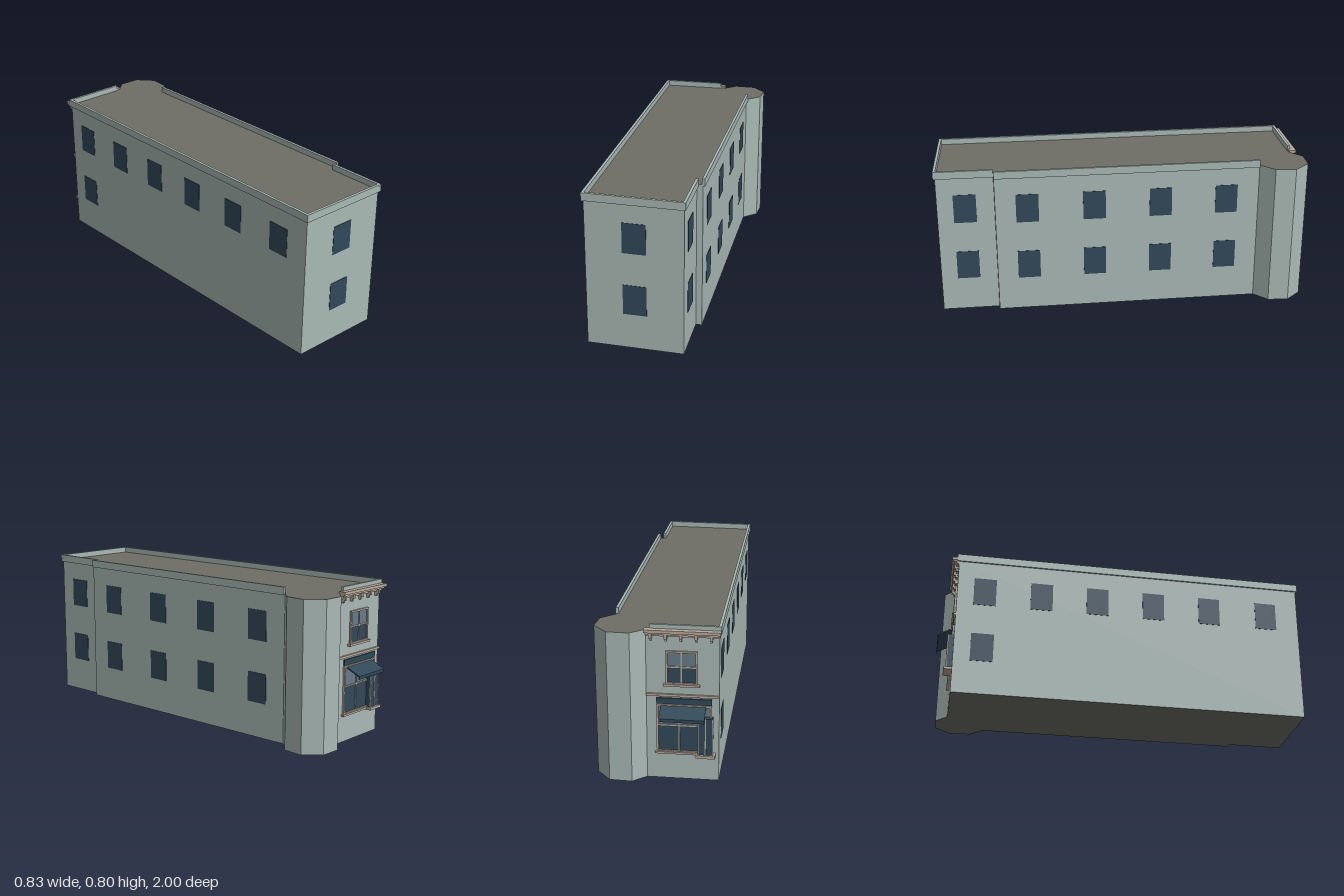
import * as THREE from 'three';

const mat = (color) => new THREE.MeshStandardMaterial({ color });
const wallMat = mat(0xa9b9b5);
const roofMat = mat(0x6e6e67);
const glassMat = mat(0x32485a);
const paleGlassMat = mat(0x667b8a);
const trimMat = mat(0xb9aa9c);
const awningMat = mat(0x2f4858);

// Footprint corners [x, z], left to right as seen from outside
const FOOT = [
  [-0.077, 0.99], [0.404, 0.925], [0.353, 0.632], [0.383, 0.625],
  [0.145, -0.745], [0.205, -0.825], [0.195, -0.932], [0.11, -1.0],
  [0.0, -0.985], [-0.055, -0.915], [-0.399, -0.855],
];
const ROOF = 0.765;

const wallLength = (i) => {
  const a = FOOT[i], b = FOOT[(i + 1) % FOOT.length];
  return Math.hypot(b[0] - a[0], b[1] - a[1]);
};

// Group lying on wall i: x along the wall, y up, z outward
function wallFrame(i, name) {
  const a = FOOT[i], b = FOOT[(i + 1) % FOOT.length];
  const g = new THREE.Group();
  g.name = name;
  g.position.set(a[0], 0, a[1]);
  g.rotation.y = Math.atan2(-(b[1] - a[1]), b[0] - a[0]);
  return g;
}

// Box given by its limits on each axis
function block(parent, name, material, x0, x1, y0, y1, z0, z1) {
  const m = new THREE.Mesh(new THREE.BoxGeometry(x1 - x0, y1 - y0, z1 - z0), material);
  m.position.set((x0 + x1) / 2, (y0 + y1) / 2, (z0 + z1) / 2);
  m.name = name;
  parent.add(m);
  return m;
}

// Rectangular frame of four bars
function frame(parent, name, x0, x1, y0, y1, t, z0, z1) {
  block(parent, name, trimMat, x0, x0 + t, y0, y1, z0, z1);
  block(parent, name, trimMat, x1 - t, x1, y0, y1, z0, z1);
  block(parent, name, trimMat, x0 + t, x1 - t, y0, y0 + t, z0, z1);
  block(parent, name, trimMat, x0 + t, x1 - t, y1 - t, y1, z0, z1);
}

function buildShopfront() {
  const g = wallFrame(9, 'shopfront');
  const L = wallLength(9);

  // Cornice with brackets
  block(g, 'corniceSlab', trimMat, -0.005, L + 0.008, 0.76, 0.775, 0, 0.038);
  block(g, 'corniceStep', trimMat, 0, L + 0.004, 0.75, 0.76, 0, 0.028);
  block(g, 'corniceBand', trimMat, 0, L + 0.004, 0.738, 0.75, 0, 0.012);
  for (let i = 0; i < 5; i++) {
    const x = L * (0.07 + i * 0.205);
    block(g, 'corniceBracket', trimMat, x - 0.007, x + 0.007, 0.728, 0.752, 0, 0.024);
    block(g, 'bracketFoot', trimMat, x - 0.005, x + 0.005, 0.715, 0.728, 0, 0.014);
  }
  block(g, 'beltCourse', trimMat, 0, L + 0.003, 0.434, 0.446, 0, 0.01);

  // Upper sash window
  const u0 = L * 0.27, u1 = L * 0.7, um = (u0 + u1) / 2;
  block(g, 'upperSashGlass', paleGlassMat, u0, u1, 0.585, 0.66, 0, 0.003);
  block(g, 'lowerSashGlass', glassMat, u0, u1, 0.5, 0.585, 0, 0.003);
  frame(g, 'upperWindowFrame', u0, u1, 0.497, 0.665, 0.009, 0, 0.009);
  block(g, 'upperWindowMullion', trimMat, um - 0.003, um + 0.003, 0.505, 0.657, 0, 0.007);
  block(g, 'upperWindowRail', trimMat, u0, u1, 0.581, 0.588, 0, 0.007);
  block(g, 'upperWindowSill', trimMat, u0 - 0.012, u1 + 0.012, 0.488, 0.499, 0, 0.016);

  // Shop window and fascia
  const s0 = L * 0.14, s1 = L * 0.9, sm = L * 0.45;
  block(g, 'fascia', awningMat, s0, s1, 0.395, 0.425, 0, 0.008);
  block(g, 'shopGlass', glassMat, s0, s1, 0.15, 0.285, 0, 0.003);
  block(g, 'shopTransomGlass', paleGlassMat, s0, s1, 0.285, 0.385, 0, 0.003);
  frame(g, 'shopWindowFrame', s0, s1, 0.143, 0.393, 0.009, 0, 0.01);
  block(g, 'shopMullion', trimMat, sm - 0.003, sm + 0.003, 0.15, 0.385, 0, 0.008);
  block(g, 'shopRail', trimMat, s0, s1, 0.282, 0.289, 0, 0.008);
  block(g, 'shopSill', trimMat, s0 - 0.008, s1 + 0.008, 0.136, 0.146, 0, 0.016);

  // Projecting display box on its ledge
  const b0 = L * 0.72, b1 = L * 0.92;
  block(g, 'displayBox', glassMat, b0, b1, 0.146, 0.335, 0, 0.03);
  for (const x of [b0, (b0 + b1) / 2, b1]) {
    block(g, 'displayPost', trimMat, x - 0.0025, x + 0.0025, 0.146, 0.335, 0.027, 0.032);
  }
  block(g, 'displayLedge', trimMat, b0 - 0.01, b1 + 0.012, 0.132, 0.146, 0, 0.042);

  // Sloping awning with a valance
  const side = new THREE.Shape([[0, 0.392], [0.083, 0.35], [0.083, 0.334], [0.079, 0.334], [0.079, 0.345], [0, 0.384]]
    .map(([z, y]) => new THREE.Vector2(z, y)));
  const a0 = L * 0.2, a1 = L * 0.82;
  const geo = new THREE.ExtrudeGeometry(side, { depth: a1 - a0, bevelEnabled: false });
  geo.rotateY(-Math.PI / 2).translate(a1, 0, 0);
  const awning = new THREE.Mesh(geo, awningMat);
  awning.name = 'awning';
  g.add(awning);
  return g;
}

export function createModel() {
  const model = new THREE.Group();
  model.name = 'cornerBuilding';

  // Main block with its faceted corner turret
  const outline = new THREE.Shape(FOOT.map(([x, z]) => new THREE.Vector2(x, -z)));
  const bodyGeo = new THREE.ExtrudeGeometry(outline, { depth: ROOF, bevelEnabled: false });
  bodyGeo.rotateX(-Math.PI / 2);
  const body = new THREE.Mesh(bodyGeo, [roofMat, wallMat]);
  body.name = 'buildingBody';
  model.add(body);

  // Parapets: [wall, overrun at start, overrun at end]
  const out = 0.009;
  for (const [i, e0, e1] of [[0, out, out], [1, out, 0], [3, 0, 0], [9, -0.02, out], [10, out, out]]) {
    const g = wallFrame(i, 'parapet');
    block(g, 'parapetWall', wallMat, -e0, wallLength(i) + e1, 0.755, 0.795, -0.005, out);
    model.add(g);
  }

  // Plain windows: [wall, fractions along it for the upper row, for the lower row]
  const rightRow = [0.12, 0.372, 0.624, 0.876];
  const rows = [
    [0, [0.5], [0.5]],
    [1, [0.485], [0.485]],
    [3, rightRow, rightRow],
    [10, [0.078, 0.239, 0.4, 0.564, 0.73, 0.902], [0.078]],
  ];
  for (const [i, upper, lower] of rows) {
    const g = wallFrame(i, 'wallWindows');
    const L = wallLength(i);
    [[upper, 0.505], [lower, 0.182]].forEach(([list, y]) => {
      for (const t of list) block(g, 'window', glassMat, t * L - 0.059, t * L + 0.059, y, y + 0.156, -0.002, 0.002);
    });
    model.add(g);
  }

  model.add(buildShopfront());
  return model;
}
